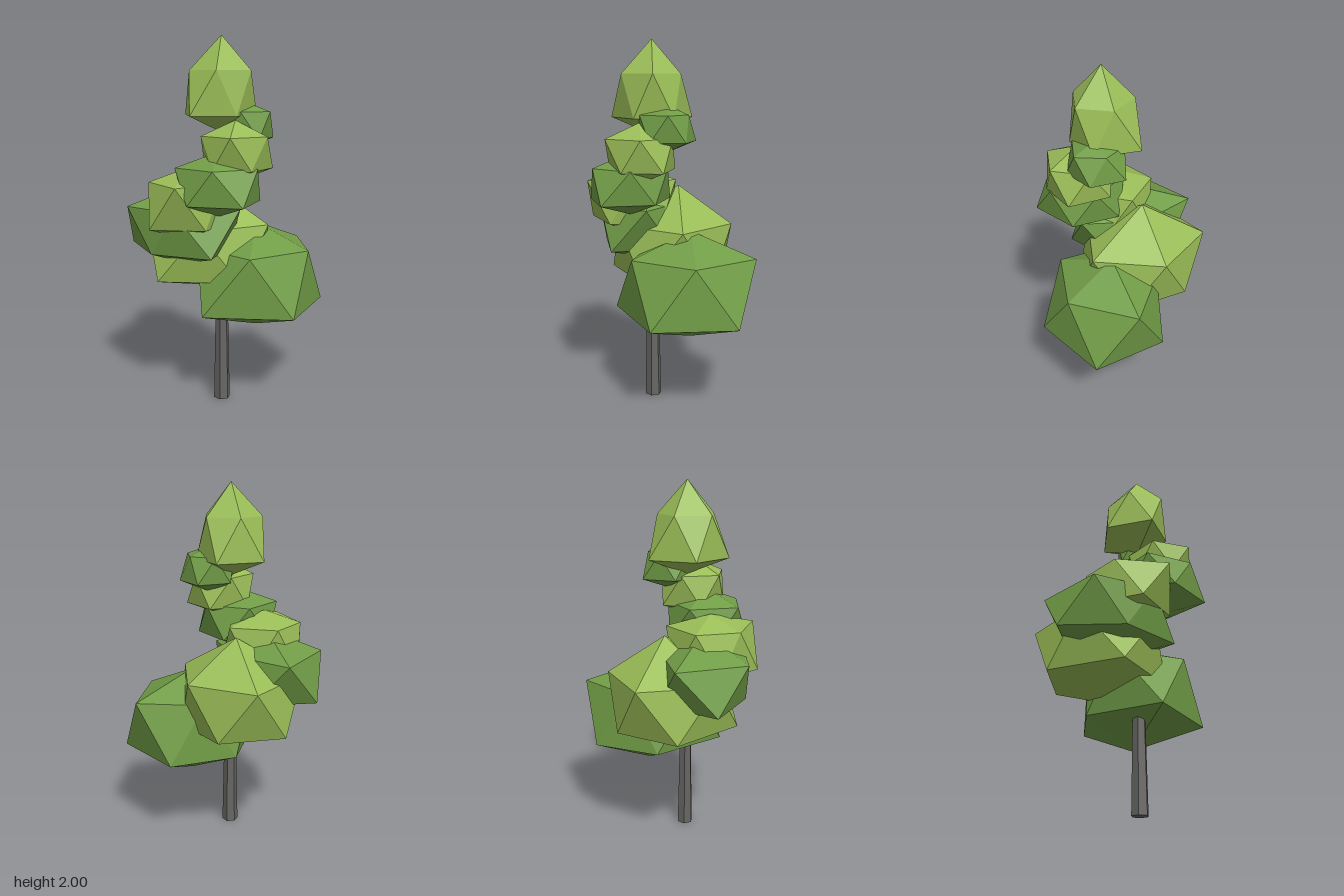
import * as THREE from 'three';

const mat = (name, color, flat = true) => {
  const m = new THREE.MeshStandardMaterial({ color, flatShading: flat });
  m.name = name;
  return m;
};

// Low-poly leaf clump: an upright icosahedron with uneven ring radii.
// ys = heights of [bottom tip, lower ring, upper ring, top tip]
function clumpGeometry(x, z, ys, upper, lower) {
  const ring = (radii, y, turn) => radii.map((r, i) => {
    const a = (i * 72 + turn) * Math.PI / 180;
    return [x + r * Math.cos(a), y, z + r * Math.sin(a)];
  });
  const bottom = [x, ys[0], z], top = [x, ys[3], z];
  const l = ring(lower, ys[1], 36), u = ring(upper, ys[2], 0);
  const pos = [];
  for (let i = 0; i < 5; i++) {
    const j = (i + 1) % 5;
    pos.push(...top, ...u[j], ...u[i]);
    pos.push(...u[i], ...u[j], ...l[i]);
    pos.push(...l[i], ...u[j], ...l[j]);
    pos.push(...bottom, ...l[i], ...l[j]);
  }
  const g = new THREE.BufferGeometry();
  g.setAttribute('position', new THREE.Float32BufferAttribute(pos, 3));
  g.computeVertexNormals();
  return g;
}

export function createModel() {
  const tree = new THREE.Group();
  tree.name = 'tree';
  const light = mat('lightLeaves', 0x9abd57);
  const dark = mat('darkLeaves', 0x719d47);
  const bark = mat('greyBark', 0x666563);

  // Trunk
  const trunk = new THREE.Mesh(new THREE.CylinderGeometry(0.026, 0.046, 1.0, 6), bark);
  trunk.name = 'trunk';
  trunk.position.set(-0.1, 0.5, 0.05);
  tree.add(trunk);

  // Leaf clumps winding up the trunk: material, x, z, heights, upper radii, lower radii
  const clumps = [
    ['bottomClump', dark, 0.13, 0.1, [0.39, 0.53, 0.855, 0.99],
      [0.36, 0.31, 0.34, 0.34, 0.25], [0.385, 0.395, 0.43, 0.31, 0.33]],
    ['rightBackClump', light, 0, -0.14, [0.6, 0.7, 0.99, 1.2],
      [0.31, 0.36, 0.36, 0.36, 0.355], [0.3, 0.36, 0.4, 0.33, 0.29]],
    ['leftBackClump', dark, -0.2, -0.14, [0.77, 0.86, 1.1, 1.22],
      [0.22, 0.34, 0.27, 0.31, 0.36], [0.26, 0.33, 0.24, 0.34, 0.27]],
    ['leftClump', light, -0.24, -0.08, [0.93, 1.01, 1.24, 1.31],
      [0.24, 0.22, 0.28, 0.2, 0.21], [0.24, 0.24, 0.26, 0.22, 0.22]],
    ['middleClump', dark, -0.2, 0.13, [1.07, 1.15, 1.33, 1.41],
      [0.21, 0.22, 0.21, 0.23, 0.23], [0.22, 0.26, 0.23, 0.22, 0.23]],
    ['frontClump', light, -0.13, 0.18, [1.25, 1.32, 1.49, 1.57],
      [0.18, 0.18, 0.19, 0.18, 0.18], [0.2, 0.17, 0.17, 0.18, 0.2]],
    ['smallClump', dark, 0, 0.12, [1.41, 1.47, 1.61, 1.66],
      [0.12, 0.15, 0.15, 0.14, 0.14], [0.16, 0.16, 0.16, 0.15, 0.17]],
    ['topClump', light, -0.1, 0.05, [1.5, 1.59, 1.82, 2.0],
      [0.16, 0.17, 0.17, 0.17, 0.17], [0.19, 0.17, 0.23, 0.22, 0.235]],
  ];
  for (const [name, material, x, z, ys, upper, lower] of clumps) {
    const mesh = new THREE.Mesh(clumpGeometry(x, z, ys, upper, lower), material);
    mesh.name = name;
    tree.add(mesh);
  }
  return tree;
}
